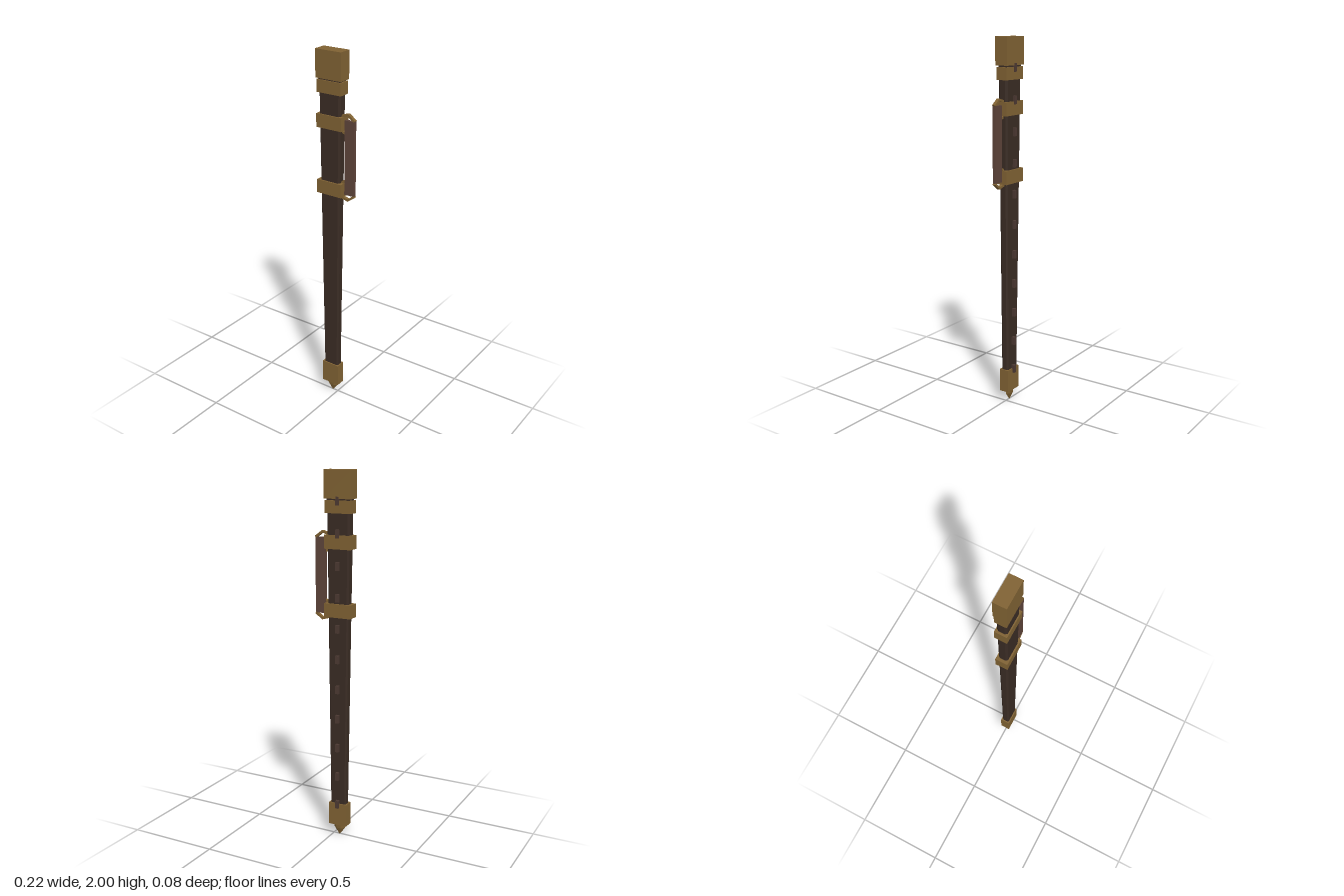
import * as THREE from 'three';

const mat = (name, color) => {
  const m = new THREE.MeshStandardMaterial({ color });
  m.name = name;
  m.flatShading = true;
  return m;
};

export function createModel() {
  const root = new THREE.Group();
  root.name = 'scabbard';
  const brass = mat('aged brass', 0x806233);
  const leather = mat('dark leather', 0x3a2c24);
  const wrap = mat('red brown leather', 0x5e443a);
  const stitch = mat('stitch leather', 0x4c3932);
  const CX = -0.034; // centre line of the sheath

  const add = (name, geo, material, x = 0, y = 0, z = 0, parent = root) => {
    const mesh = new THREE.Mesh(geo, material);
    mesh.name = name;
    mesh.position.set(x, y, z);
    parent.add(mesh);
    return mesh;
  };
  const block = (name, w, y0, y1, d, material, x = CX, z = 0) =>
    add(name, new THREE.BoxGeometry(w, y1 - y0, d), material, x, (y0 + y1) / 2, z);

  // Loft of flattened polygon rings; each ring is [y, half width, half depth]
  const loft = (rings, outline) => {
    const n = outline.length, pos = [], idx = [];
    for (const [y, w, d] of rings)
      for (const [u, v] of outline) pos.push(u * w, y, v * d);
    for (let r = 0; r < rings.length - 1; r++)
      for (let i = 0; i < n; i++) {
        const a = r * n + i, b = r * n + (i + 1) % n;
        idx.push(a, a + n, b, b, a + n, b + n);
      }
    const top = (rings.length - 1) * n;
    for (let i = 1; i < n - 1; i++) {
      idx.push(0, i, i + 1);
      idx.push(top, top + i + 1, top + i);
    }
    const g = new THREE.BufferGeometry();
    g.setAttribute('position', new THREE.Float32BufferAttribute(pos, 3));
    g.setIndex(idx);
    const flat = g.toNonIndexed();
    flat.computeVertexNormals();
    return flat;
  };

  // Tapered sheath with bevelled long edges
  const bevelled = [[1, -0.6], [1, 0.6], [0.86, 1], [-0.86, 1], [-1, 0.6], [-1, -0.6], [-0.86, -1], [0.86, -1]];
  add('sheath', loft([[0.12, 0.045, 0.02], [1.82, 0.066, 0.028]], bevelled), leather, CX);

  // Mouth and metal fittings
  block('throat', 0.13, 1.8, 1.87, 0.05, leather);
  block('mouthCap', 0.154, 1.855, 2, 0.072, brass);
  block('collar', 0.148, 1.782, 1.847, 0.064, brass);
  block('upperBand', 0.152, 1.6, 1.672, 0.068, brass);
  block('lowerBand', 0.152, 1.242, 1.315, 0.068, brass);
  block('chape', 0.106, 0.062, 0.19, 0.054, brass);

  // Faceted point below the chape
  const hex = [[1, 0], [0.4, 1], [-0.4, 1], [-1, 0], [-0.4, -1], [0.4, -1]];
  add('tip', loft([[0, 0.003, 0.002], [0.038, 0.032, 0.015], [0.07, 0.038, 0.019]], hex), brass, CX);

  // Row of stitches down the back
  for (let i = 0; i < 11; i++) {
    const y = 0.188 + i * 0.1656;
    block('stitch', 0.018, y - 0.022, y + 0.022, 0.022, stitch, CX - 0.001, -0.028);
  }

  // Side handle: padded grip with a mirrored bracket at each end
  const handle = new THREE.Group();
  handle.name = 'handle';
  handle.position.y = 1.456;
  root.add(handle);
  add('grip', new THREE.BoxGeometry(0.059, 0.4, 0.018), wrap, 0.0765, 0, 0, handle);

  const strip = (name, points, side, depth) => {
    for (let i = 0; i < points.length - 1; i++) {
      const [x0, y0] = points[i], [x1, y1] = points[i + 1];
      const len = Math.hypot(x1 - x0, y1 - y0);
      const bar = add(name, new THREE.BoxGeometry(len + 0.006, 0.012, depth), brass,
        (x0 + x1) / 2, side * (y0 + y1) / 2, 0, handle);
      bar.rotation.z = side * Math.atan2(y1 - y0, x1 - x0);
    }
  };
  for (const side of [1, -1]) {
    strip('bracket', [[0.022, 0.217], [0.067, 0.229], [0.104, 0.202]], side, 0.018);
    strip('bracketHook', [[0.022, 0.141], [0.047, 0.13]], side, 0.012);
  }
  return root;
}
